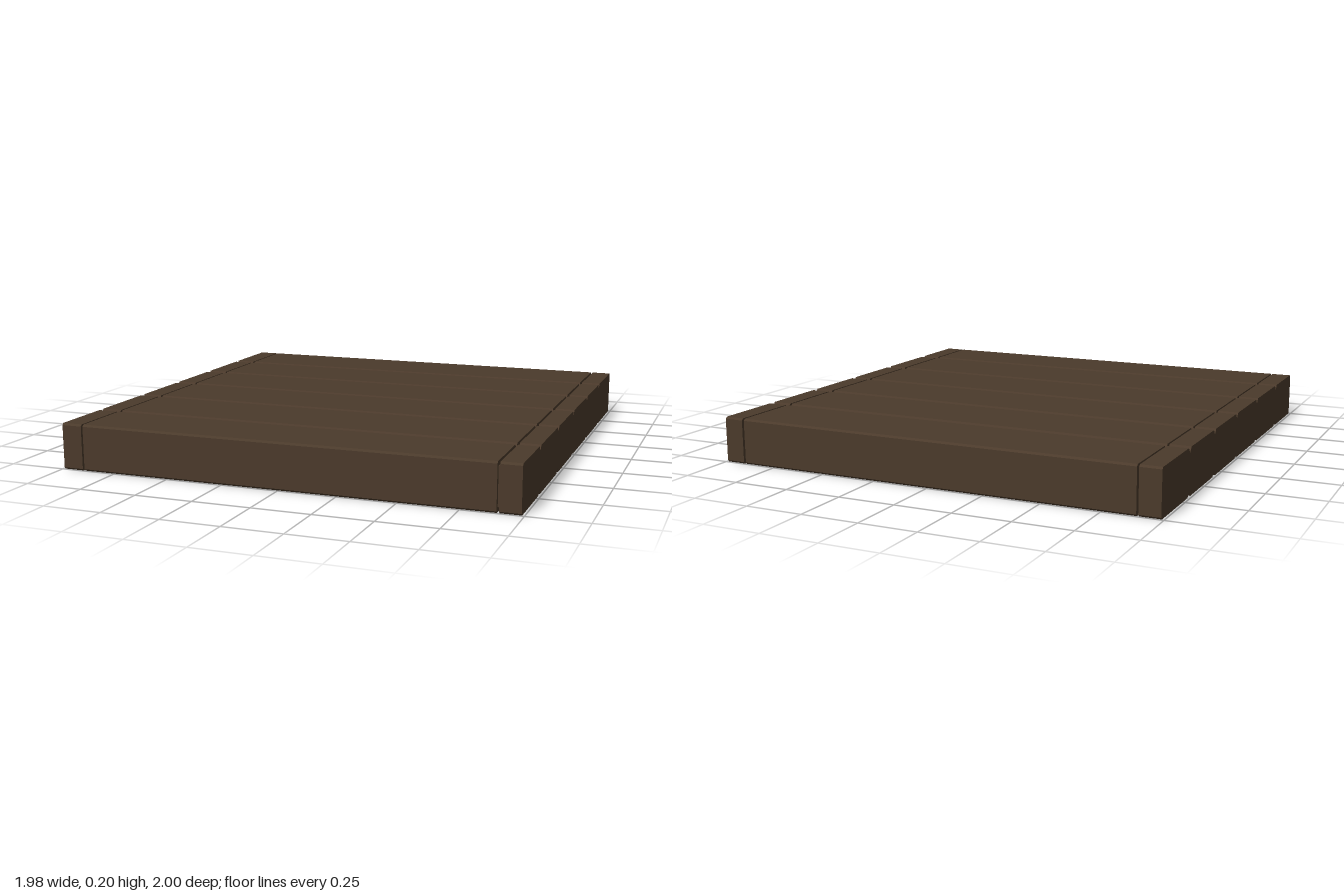
import * as THREE from 'three';

const HEIGHT = 0.2;
const SEAMS = [-1, -0.67, -0.335, 0, 0.34, 0.697, 1];

// Plank with bevelled long edges, running along x from x0 to x1
function plank(x0, x1, z0, z1, material) {
  const a = z0 === -1 ? 0.008 : 0.017; // bevel on the back edge
  const b = z1 === 1 ? 0.008 : 0.017; // bevel on the front edge
  const ha = z0 === -1 ? 0.008 : 0.022;
  const hb = z1 === 1 ? 0.008 : 0.022;
  // Section is drawn with its horizontal axis equal to -z
  const shape = new THREE.Shape([
    [-z1 + b, 0], [-z0 - a, 0], [-z0, ha], [-z0, HEIGHT - ha],
    [-z0 - a, HEIGHT], [-z1 + b, HEIGHT], [-z1, HEIGHT - hb], [-z1, hb],
  ].map(([u, v]) => new THREE.Vector2(u, v)));
  const geometry = new THREE.ExtrudeGeometry(shape, { depth: x1 - x0, bevelEnabled: false });
  geometry.rotateY(Math.PI / 2).translate(x0, 0, 0);
  return new THREE.Mesh(geometry, material);
}

function block(name, size, position, material) {
  const mesh = new THREE.Mesh(new THREE.BoxGeometry(...size), material);
  mesh.position.set(...position);
  mesh.name = name;
  return mesh;
}

export function createModel() {
  const wood = new THREE.MeshStandardMaterial({ color: 0x4b3a2b });
  wood.name = 'dark wood';
  const model = new THREE.Group();
  model.name = 'plankPanel';

  // Main boards and the two narrow end strips, each divided into planks
  const sections = [
    ['rightEndStrip', -0.99, -0.9],
    ['mainBoards', -0.892, 0.894],
    ['leftEndStrip', 0.904, 0.99],
  ];
  for (const [name, x0, x1] of sections) {
    const group = new THREE.Group();
    group.name = name;
    for (let i = 0; i < SEAMS.length - 1; i++) {
      const mesh = plank(x0, x1, SEAMS[i], SEAMS[i + 1], wood);
      mesh.name = `plank${i + 1}`;
      group.add(mesh);
    }
    model.add(group);
  }

  // Recessed core closing the seam on the left
  model.add(block('seamCore', [0.03, 0.16, 1.965], [0.899, 0.1, 0], wood));

  // Low tenons bridging the open seam on the right
  for (const side of [-1, 1]) {
    model.add(block('tenon', [0.03, 0.065, 0.28], [-0.896, 0.0365, side * 0.6], wood));
  }
  return model;
}
